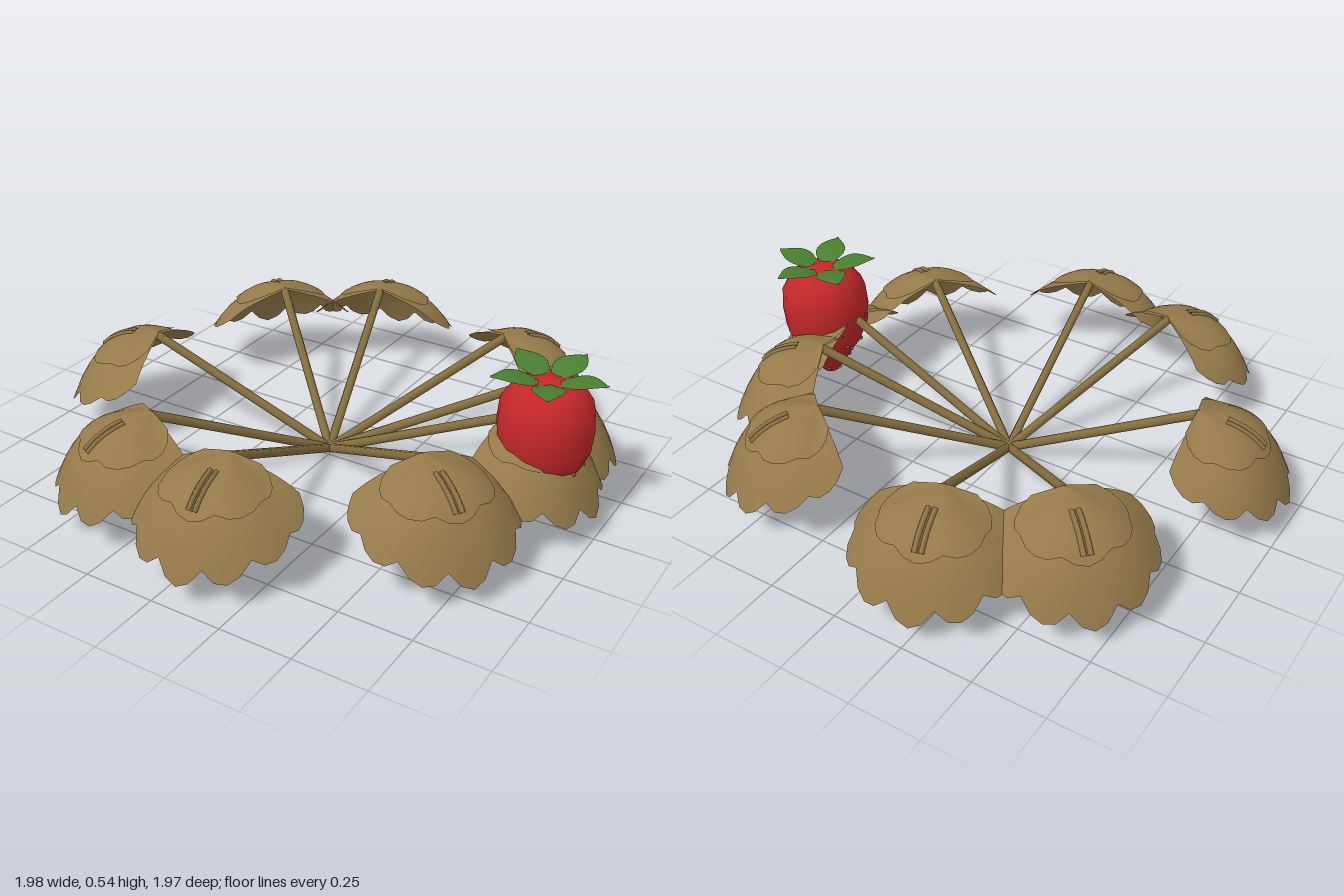
import * as THREE from 'three';

const mat = (name, color, side = THREE.FrontSide) => {
  const m = new THREE.MeshStandardMaterial({ color, side });
  m.name = name;
  return m;
};

// Height of the leaf at distance d from the stem joint: its sides fall straighter than its tip
const domeY = (d, phi = 0) => {
  const s = Math.sin(phi) ** 2;
  return 0.359 - (0.15 + 0.2 * s) * d - (0.205 - 0.09 * s) * Math.pow(d / 0.325, 4);
};
const STEM_REACH = 0.665;

// Fan-shaped leaf with a scalloped rim, pointing along +x
function fanGeometry(front, side, lobes, lift) {
  const span = (96 * Math.PI) / 180, segs = lobes * 4, rings = 8;
  const pos = [], idx = [];
  for (let i = 0; i <= rings; i++) {
    const t = 0.02 + 0.98 * Math.pow(i / rings, 0.8);
    for (let j = 0; j <= segs; j++) {
      const u = j / segs, phi = (u * 2 - 1) * span;
      const k = 1 - Math.pow(Math.abs(u * 2 - 1), 2.6);
      const tooth = 0.06 * (1 - Math.pow(Math.abs(Math.sin(u * lobes * Math.PI)), 0.8));
      const d = (side + (front - side) * k) * (1 - tooth * t * t) * t;
      const crease = 0.012 * t * Math.abs(Math.sin(phi * 2.5)) - 0.006;
      pos.push(STEM_REACH + d * Math.cos(phi), domeY(d, phi) + lift + crease, d * Math.sin(phi));
    }
  }
  const n = segs + 1;
  for (let i = 0; i < rings; i++) {
    for (let j = 0; j < segs; j++) {
      const a = i * n + j, b = a + 1, c = a + n, d = c + 1;
      idx.push(a, d, c, a, b, d);
    }
  }
  const g = new THREE.BufferGeometry();
  g.setAttribute('position', new THREE.Float32BufferAttribute(pos, 3));
  g.setIndex(idx);
  g.computeVertexNormals();
  return g;
}

// Raised rib that follows the dome beside the leaf's middle line
function ribGeometry(z) {
  const pts = [];
  for (let i = 0; i <= 6; i++) {
    const d = 0.1 + 0.13 * (i / 6);
    pts.push(new THREE.Vector3(STEM_REACH + d, domeY(d) + 0.001, z));
  }
  return new THREE.TubeGeometry(new THREE.CatmullRomCurve3(pts), 8, 0.009, 4);
}

// Arched, pointed sepal along +x
function sepalGeometry() {
  const g = new THREE.PlaneGeometry(1, 1, 8, 2);
  const p = g.attributes.position;
  for (let i = 0; i < p.count; i++) {
    const u = p.getX(i) + 0.5, v = p.getY(i) * 2;
    const w = 0.012 * (1 - u) + 0.047 * Math.sin(Math.PI * Math.pow(u, 0.9));
    const y = 0.513 + 0.028 * Math.sin(u * Math.PI * 0.62) - 0.005 * v * v;
    p.setXYZ(i, 0.03 + 0.16 * u, y, -v * w);
  }
  g.computeVertexNormals();
  return g;
}

export function createModel() {
  const model = new THREE.Group();
  model.name = 'strawberryPlant';
  const leafMat = mat('dry leaf tan', 0x957a4a, THREE.DoubleSide);
  const stemMat = mat('stem brown', 0x86703f);
  const redMat = mat('berry red', 0xc4272a);
  const greenMat = mat('sepal green', 0x4a7f30, THREE.DoubleSide);
  const seedMat = mat('seed brown', 0x7d5a35);
  const add = (parent, name, geo, material) => {
    const m = new THREE.Mesh(geo, material);
    m.name = name;
    parent.add(m);
    return m;
  };

  const plant = new THREE.Group();
  plant.name = 'foliage';
  plant.position.set(-0.005, 0, -0.015);
  model.add(plant);

  // Stems and leaves, spread unevenly around the hub
  const blade = fanGeometry(0.335, 0.24, 7, 0);
  const middle = fanGeometry(0.25, 0.11, 5, 0.006);
  const ribs = [-0.011, 0.011].map(ribGeometry);
  const stemLine = new THREE.LineCurve3(new THREE.Vector3(0, 0.018, 0), new THREE.Vector3(STEM_REACH + 0.01, 0.345, 0));
  const stem = new THREE.TubeGeometry(stemLine, 1, 0.016, 6);
  for (const deg of [-105, -137, 170, 117.5, 85, 33, 0, -20, -52]) {
    const frond = new THREE.Group();
    frond.name = 'frond';
    frond.rotation.y = (-deg * Math.PI) / 180;
    add(frond, 'stem', stem, stemMat);
    add(frond, 'leafBlade', blade, leafMat);
    add(frond, 'middleLeaflet', middle, leafMat);
    ribs.forEach((r) => add(frond, 'leafRib', r, leafMat));
    plant.add(frond);
  }
  // Pointed hub where the stems meet
  const hub = add(plant, 'hub', new THREE.ConeGeometry(0.03, 0.035, 8), stemMat);
  hub.rotation.x = Math.PI;
  hub.position.y = 0.0175;

  // Berry
  const berry = new THREE.Group();
  berry.name = 'strawberry';
  berry.position.set(0.797, 0, -0.015);
  model.add(berry);
  const profile = [[0, 0.06], [0.03, 0.078], [0.062, 0.125], [0.095, 0.18], [0.127, 0.225], [0.15, 0.28],
    [0.157, 0.36], [0.15, 0.435], [0.115, 0.488], [0.075, 0.511], [0, 0.518]].map(([x, y]) => new THREE.Vector2(x, y));
  add(berry, 'fruit', new THREE.LatheGeometry(profile, 14), redMat);

  // Seeds in staggered rings on the lower half
  const seed = new THREE.SphereGeometry(0.008, 6, 4);
  [[0.044, 0.1, 6], [0.076, 0.15, 8], [0.108, 0.2, 10], [0.129, 0.23, 10]].forEach(([r, y, count], row) => {
    for (let i = 0; i < count; i++) {
      const a = ((i + (row % 2) / 2) / count) * Math.PI * 2;
      add(berry, 'seed', seed, seedMat).position.set(r * Math.cos(a), y, r * Math.sin(a));
    }
  });

  // Five sepals around the top
  const sepal = sepalGeometry();
  for (let i = 0; i < 5; i++) {
    add(berry, 'sepal', sepal, greenMat).rotation.y = (-(i * 72 - 3) * Math.PI) / 180;
  }
  return model;
}
